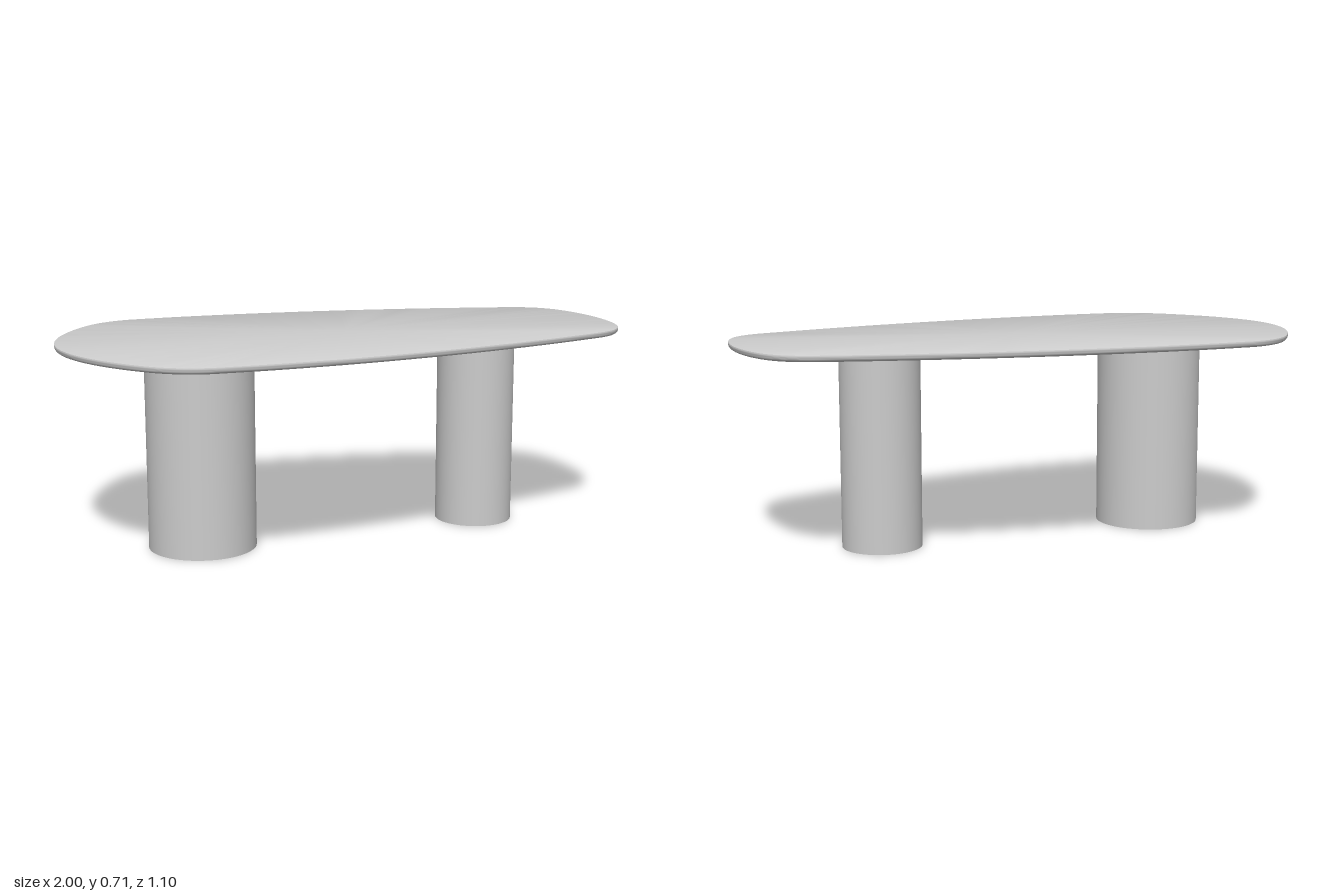
import * as THREE from 'three';
import { toCreasedNormals } from 'three/addons/utils/BufferGeometryUtils.js';

// Half of the asymmetric pebble outline (x, z), mirrored to a closed loop
function outline() {
  const half = new THREE.Path();
  half.moveTo(1, 0);
  half.quadraticCurveTo(1, 0.115, 0.968, 0.21);
  half.bezierCurveTo(0.94, 0.285, 0.89, 0.325, 0.82, 0.347);
  half.bezierCurveTo(0.4, 0.475, -0.04, 0.548, -0.47, 0.548);
  half.lineTo(-0.62, 0.543);
  half.bezierCurveTo(-0.7, 0.538, -0.77, 0.495, -0.823, 0.432);
  half.bezierCurveTo(-0.93, 0.305, -1, 0.15, -1, 0);
  const pts = half.getPoints(16);
  const mirrored = pts.slice(1, -1).reverse().map(p => new THREE.Vector2(p.x, -p.y));
  return pts.concat(mirrored);
}

// Slab lofted from inset copies of the outline, each given as [inset, y]
function slabGeometry(profile) {
  const pts = outline();
  const n = pts.length;
  const normals = pts.map((p, i) => {
    const t = pts[(i + 1) % n].clone().sub(pts[(i + n - 1) % n]).normalize();
    return new THREE.Vector2(t.y, -t.x);
  });
  const pos = [], index = [];
  for (const [inset, y] of profile) {
    pts.forEach((p, i) => pos.push(p.x - normals[i].x * inset, y, p.y - normals[i].y * inset));
  }
  for (let r = 0; r < profile.length - 1; r++) {
    for (let i = 0; i < n; i++) {
      const j = (i + 1) % n;
      const a = r * n + i, b = r * n + j, c = b + n, d = a + n;
      index.push(a, d, c, a, c, b);
    }
  }
  // Flat caps below and above
  const low = profile.length * n, high = low + 1, last = (profile.length - 1) * n;
  pos.push(0, profile[0][1], 0, 0, profile[profile.length - 1][1], 0);
  for (let i = 0; i < n; i++) {
    const j = (i + 1) % n;
    index.push(low, i, j, high, last + j, last + i);
  }
  const geo = new THREE.BufferGeometry();
  geo.setAttribute('position', new THREE.Float32BufferAttribute(pos, 3));
  geo.setIndex(index);
  return toCreasedNormals(geo, 0.6);
}

export function createModel() {
  const model = new THREE.Group();
  model.name = 'table';
  const grey = new THREE.MeshStandardMaterial({ color: 0xcccccc });
  grey.name = 'light grey';

  function add(name, geometry, x = 0, y = 0, z = 0) {
    const mesh = new THREE.Mesh(geometry, grey);
    mesh.name = name;
    mesh.position.set(x, y, z);
    model.add(mesh);
  }

  // Tabletop with a rounded lower edge
  add('tabletop', slabGeometry([
    [0.016, 0.692], [0.009, 0.6935], [0.004, 0.697], [0.001, 0.702],
    [0, 0.707], [0, 0.711], [0.001, 0.7135], [0.004, 0.715],
  ]));

  // Cylindrical legs, each with a thin mounting plate
  const legs = [
    { side: 'right', x: -0.526, z: 0.011, radius: 0.185, plate: 0.272 },
    { side: 'left', x: 0.502, z: 0.018, radius: 0.138, plate: 0.199 },
  ];
  for (const { side, x, z, radius, plate } of legs) {
    add(side + 'Leg', new THREE.CylinderGeometry(radius, radius, 0.68, 64), x, 0.34, z);
    add(side + 'MountingPlate', new THREE.CylinderGeometry(plate, plate, 0.013, 64), x, 0.6865, z);
  }
  return model;
}
